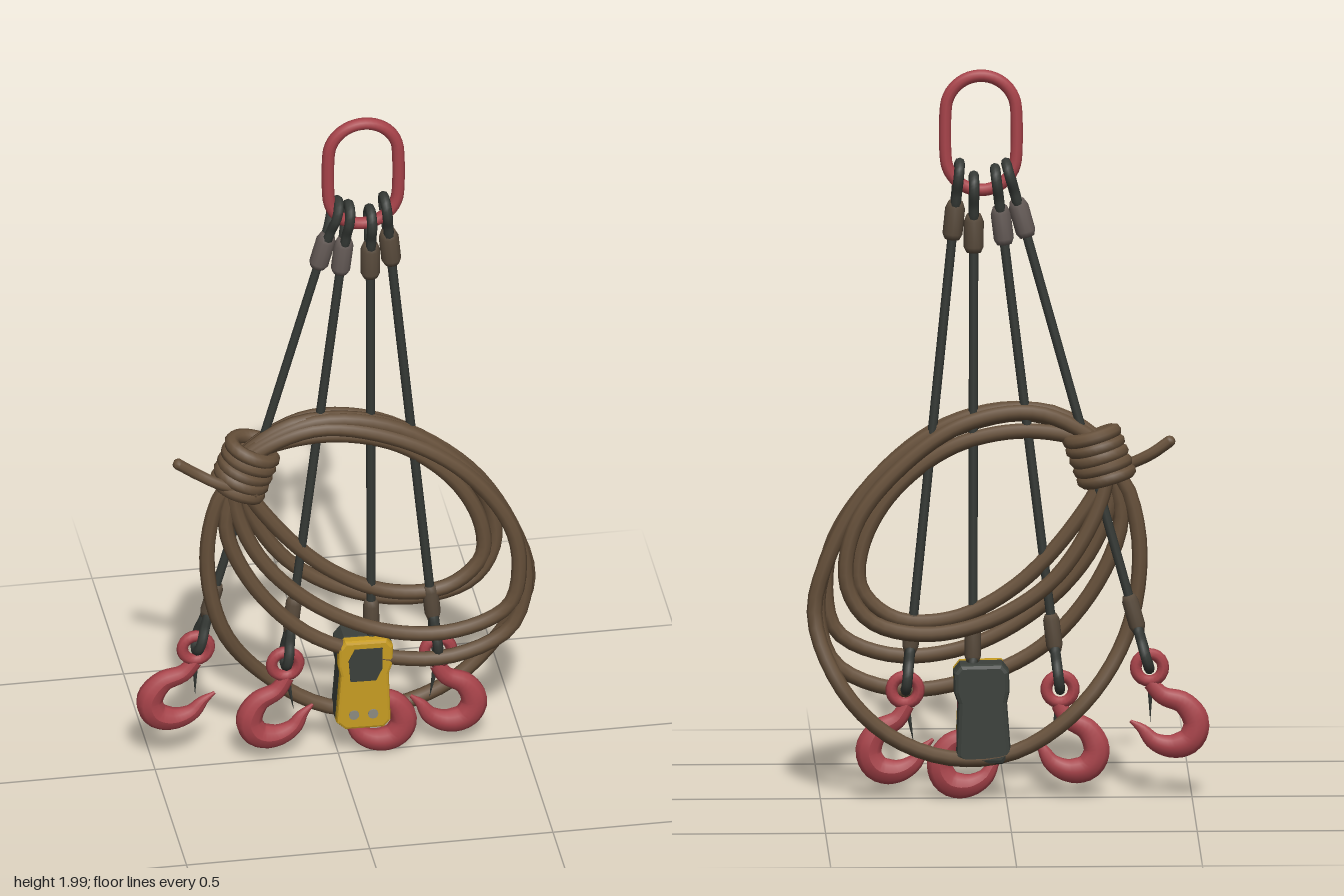
import * as THREE from 'three';

const V = (x, y, z = 0) => new THREE.Vector3(x, y, z);
const paint = (name, color) => {
  const m = new THREE.MeshStandardMaterial({ color });
  m.name = name;
  return m;
};

export function createModel() {
  const model = new THREE.Group();
  const red = paint('red painted steel', 0xa8434a);
  const wire = paint('dark wire', 0x363a36);
  const brownMetal = paint('brown ferrule metal', 0x594b3c);
  const greyMetal = paint('grey ferrule metal', 0x645a56);
  const ropeBrown = paint('brown rope', 0x66503a);
  const yellow = paint('yellow casing', 0xc79c22);
  const dark = paint('dark casing', 0x3b403b);
  const buttonGrey = paint('button grey', 0x8c8a80);

  const add = (parent, name, geometry, material, x = 0, y = 0, z = 0) => {
    const mesh = new THREE.Mesh(geometry, material);
    mesh.name = name;
    mesh.position.set(x, y, z);
    parent.add(mesh);
    return mesh;
  };
  const group = (name, parent = model) => {
    const g = new THREE.Group();
    g.name = name;
    parent.add(g);
    return g;
  };
  const tube = (points, radius, segments, closed = false, sides = 8) =>
    new THREE.TubeGeometry(new THREE.CatmullRomCurve3(points, closed), segments, radius, sides, closed);

  // Long lifting ring at the top
  const ringPoints = [];
  for (let i = 0; i <= 10; i++) {
    const a = (i / 10) * Math.PI;
    ringPoints.push(V(0.068 + 0.095 * Math.cos(a), 1.888 + 0.095 * Math.sin(a)));
  }
  for (let i = 0; i <= 10; i++) {
    const a = Math.PI + (i / 10) * Math.PI;
    ringPoints.push(V(0.068 + 0.095 * Math.cos(a), 1.765 + 0.095 * Math.sin(a)));
  }
  add(model, 'liftingRing', tube(ringPoints, 0.017, 64, true, 10), red);

  // Wire eye and crimped ferrule, hanging down from the local origin
  const loopGeometry = tube([
    V(0, 0, 0), V(0, -0.014, 0.026), V(0, -0.042, 0.032), V(0, -0.08, 0.018), V(0, -0.12, 0.008),
    V(0, -0.12, -0.008), V(0, -0.08, -0.018), V(0, -0.042, -0.032), V(0, -0.014, -0.026),
  ], 0.014, 36, true);
  const ferruleProfile = [[0, -0.21], [0.02, -0.21], [0.027, -0.195], [0.027, -0.125], [0.019, -0.105], [0, -0.105]]
    .map(([r, y]) => new THREE.Vector2(r, y));
  const ferruleGeometry = new THREE.LatheGeometry(ferruleProfile, 12);

  // Tapered hook body swept along its curve
  const hookCurve = new THREE.CatmullRomCurve3([
    V(0, -0.04), V(-0.035, -0.077), V(-0.092, -0.098), V(-0.126, -0.15), V(-0.11, -0.198),
    V(-0.062, -0.216), V(-0.012, -0.202), V(0.02, -0.168), V(0.052, -0.146),
  ]);
  const hookRadii = [0.02, 0.025, 0.03, 0.036, 0.037, 0.035, 0.027, 0.018, 0.004];
  const hookSteps = 32, hookSides = 10;
  const hookGeometry = new THREE.TubeGeometry(hookCurve, hookSteps, 1, hookSides);
  const hp = hookGeometry.attributes.position;
  for (let i = 0; i <= hookSteps; i++) {
    const c = hookCurve.getPointAt(i / hookSteps);
    const f = (i / hookSteps) * (hookRadii.length - 1), k = Math.min(Math.floor(f), hookRadii.length - 2);
    const r = THREE.MathUtils.lerp(hookRadii[k], hookRadii[k + 1], f - k);
    for (let j = 0; j <= hookSides; j++) {
      const n = i * (hookSides + 1) + j;
      hp.setXYZ(n, c.x + (hp.getX(n) - c.x) * r, c.y + (hp.getY(n) - c.y) * r, hp.getZ(n) * r * 0.8);
    }
  }
  hookGeometry.computeVertexNormals();

  function addHook(x, y, z, turn, mirrored) {
    const hook = group('hook');
    hook.position.set(x, y, z);
    hook.rotation.z = mirrored ? -turn : turn;
    if (mirrored) hook.rotation.y = Math.PI;
    if (mirrored) hook.rotation.set(0, Math.PI, turn);
    add(hook, 'hookEye', new THREE.TorusGeometry(0.037, 0.016, 8, 20), red);
    add(hook, 'hookBody', hookGeometry, red);
    const latch = add(hook, 'safetyLatch', new THREE.ConeGeometry(0.009, 0.1, 6), wire, -0.002, -0.1, 0);
    latch.rotation.z = Math.PI;
  }

  // One leg: cable with an eye and ferrule at each end
  function addSling(top, bottom, metal) {
    const sling = group('slingLeg');
    const up = top.clone().sub(bottom);
    const length = up.length();
    sling.position.copy(top);
    sling.quaternion.setFromUnitVectors(V(0, 1, 0), up.normalize());
    add(sling, 'cable', new THREE.CylinderGeometry(0.0125, 0.0125, length - 0.28, 8), wire, 0, -length / 2);
    add(sling, 'upperEye', loopGeometry, wire);
    add(sling, 'upperFerrule', ferruleGeometry, metal);
    const lower = group('lowerEnd', sling);
    lower.position.y = -length;
    lower.rotation.x = Math.PI;
    add(lower, 'lowerEye', loopGeometry, wire);
    add(lower, 'lowerFerrule', ferruleGeometry, brownMetal).scale.set(0.82, 1, 0.82);
  }
  addSling(V(0, 1.745), V(-0.385, 0.36, -0.022), greyMetal);
  addSling(V(0.03, 1.73), V(-0.145, 0.3), greyMetal);
  addSling(V(0.087, 1.71), V(0.09, 0.27), brownMetal);
  addSling(V(0.125, 1.745), V(0.27, 0.3), brownMetal);
  addHook(-0.385, 0.365, -0.022, 0, false);
  addHook(-0.145, 0.303, 0, 0.17, false);
  addHook(0.08, 0.263, 0, 0.17, true);
  addHook(0.272, 0.303, 0, 0.17, true);

  // Rope coil: loops that meet at the knot, each with its own depth
  const coil = group('ropeCoil');
  const loops = [
    { z: -0.032, pts: [[-.26, .96], [-.09, 1.06], [.12, 1.03], [.31, .89], [.41, .75], [.43, .6], [.37, .5],
      [.235, .46], [.06, .49], [-.12, .6], [-.23, .76], [-.27, .89]] },
    { z: -0.005, pts: [[-.25, .96], [-.07, 1.01], [.14, .97], [.31, .84], [.39, .69], [.39, .58], [.3, .5],
      [.14, .5], [-.03, .59], [-.18, .75], [-.26, .89]] },
    { z: 0.052, pts: [[-.26, .96], [-.07, 1.05], [.16, 1], [.34, .88], [.46, .71], [.485, .58], [.455, .455],
      [.31, .39], [.11, .41], [-.09, .52], [-.23, .68], [-.29, .87]] },
    { z: 0.032, pts: [[-.27, .96], [-.07, 1.065], [.17, 1.02], [.38, .84], [.49, .63], [.505, .5], [.46, .37],
      [.3, .3], [.11, .32], [-.09, .41], [-.24, .58], [-.31, .76], [-.29, .88]] },
    { z: 0.012, low: -0.035, pts: [[-.27, .96], [-.12, 1.06], [.12, 1.04], [.35, .88], [.48, .66], [.515, .5],
      [.44, .31], [.31, .18], [.14, .12], [-.03, .14], [-.2, .26], [-.32, .44], [-.36, .66], [-.33, .84], [-.28, .92]] },
  ];
  for (const { z, low = z, pts } of loops) {
    const path = pts.map(([x, y], i) => {
      const spread = 0.4 + 0.6 * Math.sin((Math.PI * i) / (pts.length - 1));
      return V(x, y, (y < 0.4 ? low : z) * spread);
    });
    add(coil, 'ropeLoop', tube(path, 0.021, 64, true), ropeBrown);
  }

  // Wrapped knot and loose rope end
  const wraps = [];
  for (let i = 0; i <= 60; i++) {
    const t = i / 60, a = t * Math.PI * 2 * 5;
    wraps.push(V(0.062 * Math.cos(a), (t - 0.5) * 0.145, 0.05 * Math.sin(a)));
  }
  const knot = add(coil, 'knotWraps', tube(wraps, 0.02, 120), ropeBrown, -0.252, 0.935, -0.003);
  knot.rotation.z = -0.35;
  const tail = [V(-0.44, 0.975, 0.022), V(-0.39, 0.94, 0.024), V(-0.33, 0.91, 0.038), V(-0.23, 0.875, 0.04)];
  add(coil, 'ropeEnd', tube(tail, 0.016, 14), ropeBrown);
  add(coil, 'ropeEndTip', new THREE.SphereGeometry(0.016, 8, 6), ropeBrown, -0.44, 0.975, 0.022);

  // Hand control: yellow face on a dark back shell
  const control = group('handControl');
  control.position.set(0.064, 0.243, 0);
  control.rotation.z = -0.02;
  const outline = [[-.05, -.137], [.055, -.137], [.074, -.115], [.066, .03], [.076, .06], [.076, .115],
    [.058, .137], [-.055, .137], [-.073, .115], [-.073, .06], [-.066, .03], [-.074, -.115]];
  const slab = (points, depth, bevel) => new THREE.ExtrudeGeometry(
    new THREE.Shape(points.map(([x, y]) => new THREE.Vector2(x, y))),
    { depth, bevelEnabled: bevel > 0, bevelSize: bevel, bevelThickness: bevel, bevelOffset: -bevel, bevelSegments: 2 });
  add(control, 'backShell', slab(outline, 0.058, 0.012), dark, 0, 0, -0.042);
  add(control, 'frontCover', slab(outline, 0.02, 0.008), yellow, 0, 0, 0.022);
  add(control, 'screen', slab([[-.04, .015], [.03, .015], [.046, .05], [.046, .115], [-.03, .115], [-.046, .08]],
    0.004, 0), dark, 0, 0, 0.049);
  for (const x of [-0.028, 0.024]) {
    const button = add(control, 'button', new THREE.CylinderGeometry(0.014, 0.014, 0.006, 12), buttonGrey, x, -0.09, 0.051);
    button.rotation.x = Math.PI / 2;
  }

  return model;
}
